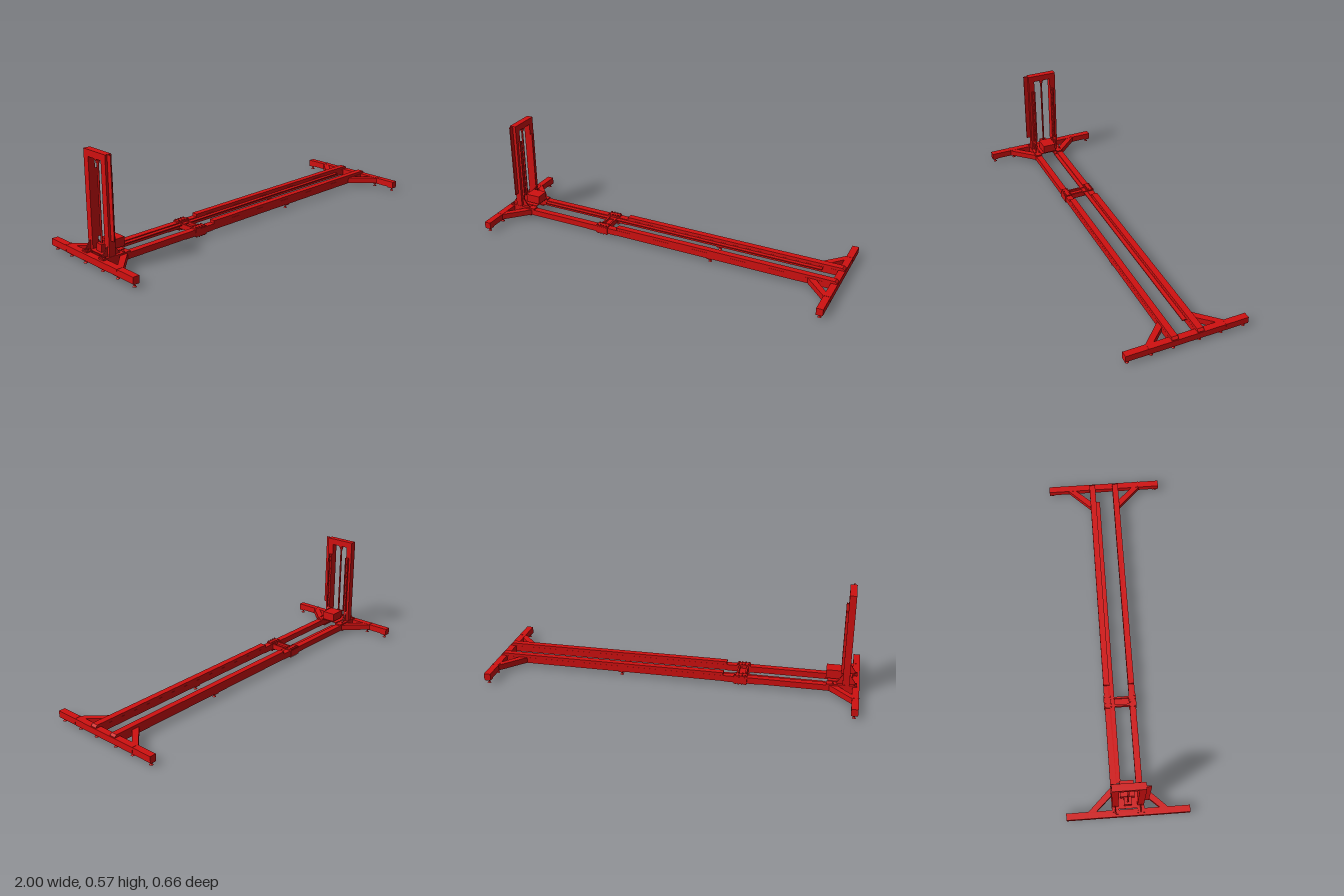
import * as THREE from 'three';

export function createModel() {
  const root = new THREE.Group();
  root.name = 'gantryFrame';
  const red = new THREE.MeshStandardMaterial({ color: 0xd01010 });
  red.name = 'red paint';

  const add = (name, geo, x = 0, y = 0, z = 0, parent = root) => {
    const m = new THREE.Mesh(geo, red);
    m.name = name;
    m.position.set(x, y, z);
    parent.add(m);
    return m;
  };
  // Box given by its minimum and maximum corners
  const box = (name, x0, x1, y0, y1, z0, z1, parent) =>
    add(name, new THREE.BoxGeometry(x1 - x0, y1 - y0, z1 - z0),
      (x0 + x1) / 2, (y0 + y1) / 2, (z0 + z1) / 2, parent);
  const cyl = (name, r0, r1, y0, y1, x, z, parent, n = 16) =>
    add(name, new THREE.CylinderGeometry(r1, r0, y1 - y0, n), x, (y0 + y1) / 2, z, parent);
  // Plate drawn in x and y, extruded along z
  const plate = (name, pts, z, t, parent) => {
    const s = new THREE.Shape(pts.map(p => new THREE.Vector2(...p)));
    return add(name, new THREE.ExtrudeGeometry(s, { depth: t, bevelEnabled: false }), 0, 0, z - t / 2, parent);
  };

  // Levelling foot: mounting plate, nut, stem and pad
  const foot = (x, z) => {
    const g = new THREE.Group();
    g.name = 'levellingFoot';
    root.add(g);
    box('footPlate', x - 0.016, x + 0.016, 0.019, 0.023, z - 0.017, z + 0.017, g);
    cyl('footNut', 0.006, 0.006, 0.014, 0.019, x, z, g, 6);
    cyl('footStem', 0.003, 0.003, 0.004, 0.019, x, z, g, 10);
    cyl('footPad', 0.01, 0.005, 0, 0.007, x, z, g);
  };

  // End crossbeams with diagonal braces and feet
  for (const e of [-1, 1]) {
    box('endBeam', e * 0.98 - 0.018, e * 0.98 + 0.018, 0.023, 0.058, -0.33, 0.33);
    for (const s of [-1, 1]) {
      const hw = 0.022;
      const pts = [[0.962, 0.212], [0.962, 0.212 - 2 * hw], [0.888, 0.087], [0.842, 0.087]];
      const shape = new THREE.Shape(pts.map(([x, z]) => new THREE.Vector2(e * x, -s * z)));
      const geo = new THREE.ExtrudeGeometry(shape, { depth: 0.032, bevelEnabled: false });
      geo.rotateX(-Math.PI / 2);
      add('diagonalBrace', geo, 0, 0.025, 0);
      box('braceFlange', e * 0.98 - 0.019, e * 0.98 + 0.019, 0.024, 0.059, s * 0.207 - 0.003, s * 0.207 + 0.003);
      for (const z of [0.07, 0.188, 0.313]) foot(e * 0.978, s * z);
    }
  }

  // Long rails with raised tops, splice clamps and middle feet
  for (const s of [-1, 1]) {
    const z = s * 0.069;
    box('longRail', -0.962, 0.962, 0.024, 0.057, z - 0.0175, z + 0.0175);
    plate('railTop', [[-0.275, 0.057], [0.995, 0.057], [0.995, 0.062], [0.983, 0.073], [-0.275, 0.073]], z, 0.034);
    foot(0.293, z);

    const clamp = new THREE.Group();
    clamp.name = 'spliceClamp';
    root.add(clamp);
    box('clampTop', -0.405, -0.333, 0.057, 0.064, z - 0.02, z + 0.02, clamp);
    box('clampBottom', -0.405, -0.333, 0.017, 0.024, z - 0.02, z + 0.02, clamp);
    box('clampSide', -0.405, -0.333, 0.024, 0.057, z + s * 0.019 - 0.002, z + s * 0.019 + 0.002, clamp);
    for (const [a, b] of [[-0.465, -0.405], [-0.333, -0.28]])
      box('spliceStrip', a, b, 0.02, 0.024, z - 0.014, z + 0.014, clamp);
    for (let i = 0; i < 4; i++)
      for (const d of [-0.014, 0.014])
        cyl('clampBolt', 0.0045, 0.0045, 0.012, 0.069, -0.396 + i * 0.018, z + d, clamp, 6);
  }

  // Link between the splice clamps
  for (const x of [-0.391, -0.347]) box('crossLink', x - 0.005, x + 0.005, 0.026, 0.056, -0.052, 0.052);
  box('crossLinkWeb', -0.387, -0.351, 0.037, 0.043, -0.052, 0.052);

  // Ledge along the inside of the rear rail
  box('railLedge', -0.82, 0.88, 0.046, 0.052, -0.053, -0.03);

  // Upright portal
  const tower = new THREE.Group();
  tower.name = 'tower';
  root.add(tower);
  for (const s of [-1, 1]) {
    const z = s * 0.0675;
    box('column', -0.946, -0.91, 0.057, 0.533, z - 0.0175, z + 0.0175, tower);
    // Slotted guide with its row of bolts
    for (const d of [-0.008, 0.008])
      box('guideLip', -0.91, -0.898, 0.125, 0.47, s * 0.06 + d - 0.002, s * 0.06 + d + 0.002, tower);
    box('guideRail', -0.91, -0.902, 0.125, 0.47, s * 0.06 - 0.004, s * 0.06 + 0.004, tower);
    for (let i = 0; i < 13; i++)
      box('guideBolt', -0.903, -0.899, 0.137 + i * 0.0265, 0.142 + i * 0.0265, s * 0.06 - 0.003, s * 0.06 + 0.003, tower);
    // Foot flange and gussets
    box('columnFlange', -0.985, -0.825, 0.057, 0.065, z - 0.019, z + 0.019, tower);
    plate('rearGusset', [[-0.982, 0.065], [-0.946, 0.065], [-0.946, 0.118]], z, 0.006, tower);
    plate('frontGusset', [[-0.91, 0.065], [-0.875, 0.065], [-0.91, 0.118]], z, 0.006, tower);
    for (const x of [-0.97, -0.86])
      for (const d of [-0.012, 0.012]) cyl('flangeBolt', 0.0045, 0.0045, 0.065, 0.071, x, z + d, tower, 6);
    box('underPlate', -0.985, -0.85, 0.017, 0.024, z - 0.019, z + 0.019, tower);
  }
  box('topBeam', -0.946, -0.91, 0.533, 0.568, -0.085, 0.085, tower);
  box('basePlate', -0.96, -0.83, 0.065, 0.069, -0.052, 0.052, tower);
  box('sidePlate', -0.934, -0.928, 0.145, 0.568, 0.085, 0.11, tower);

  // Lead screw, upper bearing and drive
  const drive = new THREE.Group();
  drive.name = 'liftDrive';
  root.add(drive);
  cyl('leadScrew', 0.0055, 0.0055, 0.069, 0.515, -0.928, 0, drive);
  cyl('bearingCollar', 0.009, 0.011, 0.51, 0.52, -0.928, 0, drive);
  cyl('bearingCup', 0.011, 0.016, 0.52, 0.529, -0.928, 0, drive);
  cyl('bearingFlange', 0.017, 0.017, 0.529, 0.533, -0.928, 0, drive);
  box('driveBox', -0.905, -0.82, 0.075, 0.123, -0.038, 0.038, drive);
  box('drivePedestal', -0.89, -0.835, 0.069, 0.075, -0.023, 0.023, drive);
  box('gearHousing', -0.945, -0.905, 0.07, 0.11, -0.02, 0.02, drive);

  return root;
}
